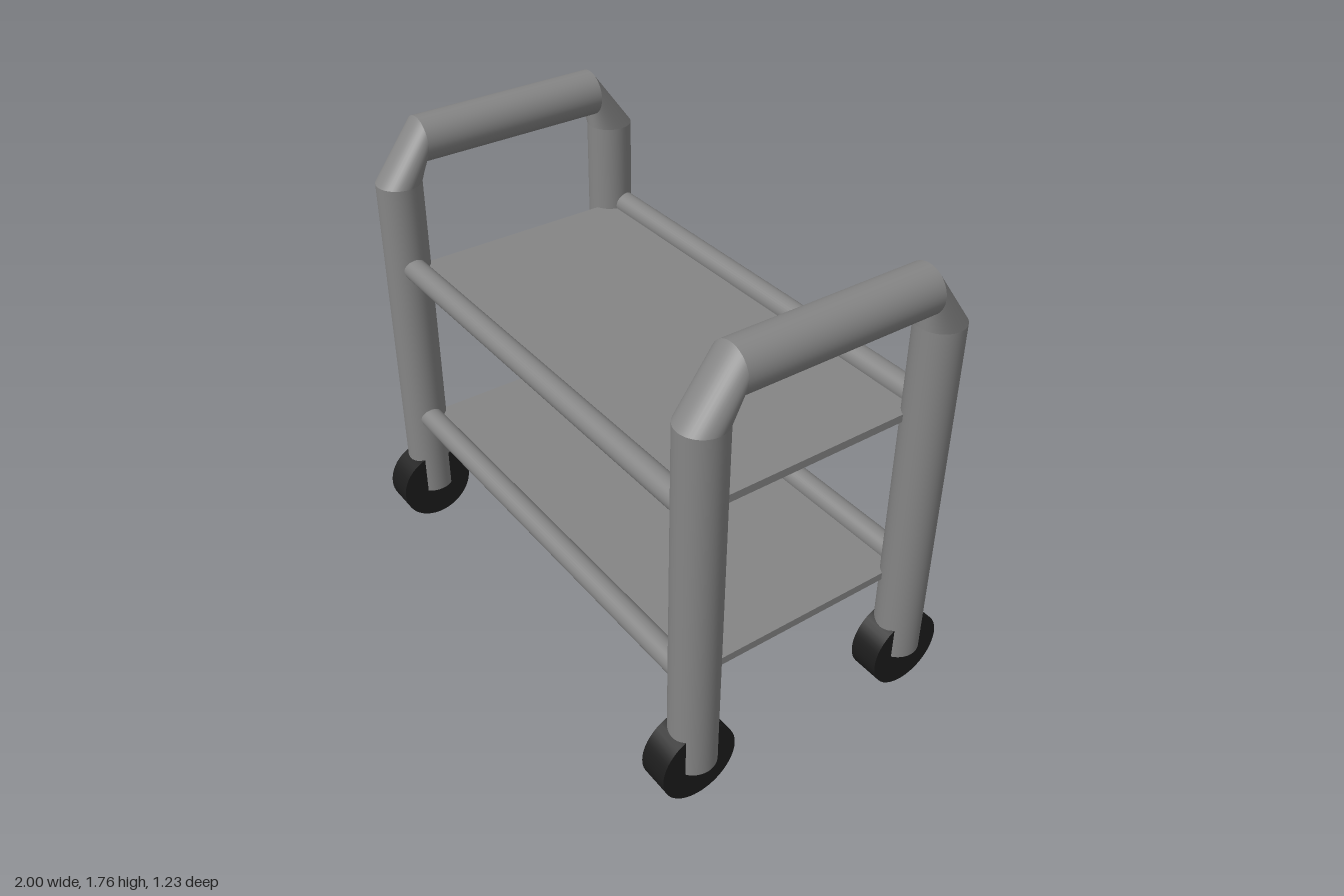
import * as THREE from 'three';

const SIDES = 40;
const LEG_X = 0.914, LEG_R = 0.086;
const FRONT_Z = 0.459, BACK_Z = -0.467;

const grey = new THREE.MeshStandardMaterial({ color: 0x858585 });
const rubber = new THREE.MeshStandardMaterial({ color: 0x1c1c1c });

function addMesh(parent, name, geometry, material, x = 0, y = 0, z = 0) {
  const mesh = new THREE.Mesh(geometry, material);
  mesh.name = name;
  mesh.position.set(x, y, z);
  parent.add(mesh);
  return mesh;
}

// Ring of points around the frame tube; (dy, dz) is the outward direction in the frame's plane
function ring(y, z, dy, dz) {
  return Array.from({ length: SIDES }, (_, i) => {
    const a = (i / SIDES) * Math.PI * 2;
    const out = LEG_R * Math.sin(a);
    return [LEG_R * Math.cos(a), y + dy * out, z + dz * out];
  });
}

// Smooth skin between two rings, keeping a crease where sections meet
function section(from, to) {
  const geometry = new THREE.BufferGeometry();
  geometry.setAttribute('position', new THREE.Float32BufferAttribute([...from, ...to].flat(), 3));
  const index = [];
  for (let i = 0; i < SIDES; i++) {
    const j = (i + 1) % SIDES;
    index.push(i, i + SIDES, j + SIDES, i, j + SIDES, j);
  }
  geometry.setIndex(index);
  geometry.computeVertexNormals();
  return geometry;
}

export function createModel() {
  const cart = new THREE.Group();
  cart.name = 'trolley';

  // Two side frames: leg, mitred corner, handle, corner, leg
  const rings = [
    ring(0.15, FRONT_Z, 0, 1),
    ring(1.53, FRONT_Z, 0, 1),
    ring(1.674, 0.367, 1, 0),
    ring(1.674, -0.38, 1, 0),
    ring(1.53, BACK_Z, 0, -1),
    ring(0.15, BACK_Z, 0, -1),
  ];
  const names = ['frontLeg', 'frontCorner', 'handle', 'backCorner', 'backLeg'];
  for (const side of [1, -1]) {
    const frame = new THREE.Group();
    frame.name = side > 0 ? 'leftFrame' : 'rightFrame';
    frame.position.x = side * LEG_X;
    names.forEach((name, i) => addMesh(frame, name, section(rings[i], rings[i + 1]), grey));
    const cap = new THREE.CircleGeometry(LEG_R, SIDES).rotateX(Math.PI / 2);
    addMesh(frame, 'frontLegEnd', cap, grey, 0, 0.15, FRONT_Z);
    addMesh(frame, 'backLegEnd', cap, grey, 0, 0.15, BACK_Z);
    cart.add(frame);

    // Wheels; the front pair sits slightly higher
    const wheel = new THREE.CylinderGeometry(0.148, 0.148, 0.12, 48).rotateZ(Math.PI / 2);
    addMesh(cart, 'frontWheel', wheel, rubber, side * 0.907, 0.169, 0.468);
    addMesh(cart, 'backWheel', wheel, rubber, side * 0.907, 0.148, -0.468);
  }

  // Two shelves, each with a front and a back rail
  for (const [label, y] of [['lower', 0.514], ['upper', 1.198]]) {
    addMesh(cart, label + 'Shelf', new THREE.BoxGeometry(1.77, 0.03, 0.95), grey, 0, y - 0.027, -0.011);
    const rail = new THREE.CylinderGeometry(0.044, 0.044, 1.76, 32).rotateZ(Math.PI / 2);
    addMesh(cart, label + 'FrontRail', rail, grey, 0, y, 0.465);
    addMesh(cart, label + 'BackRail', rail, grey, 0, y, -0.487);
  }
  return cart;
}
